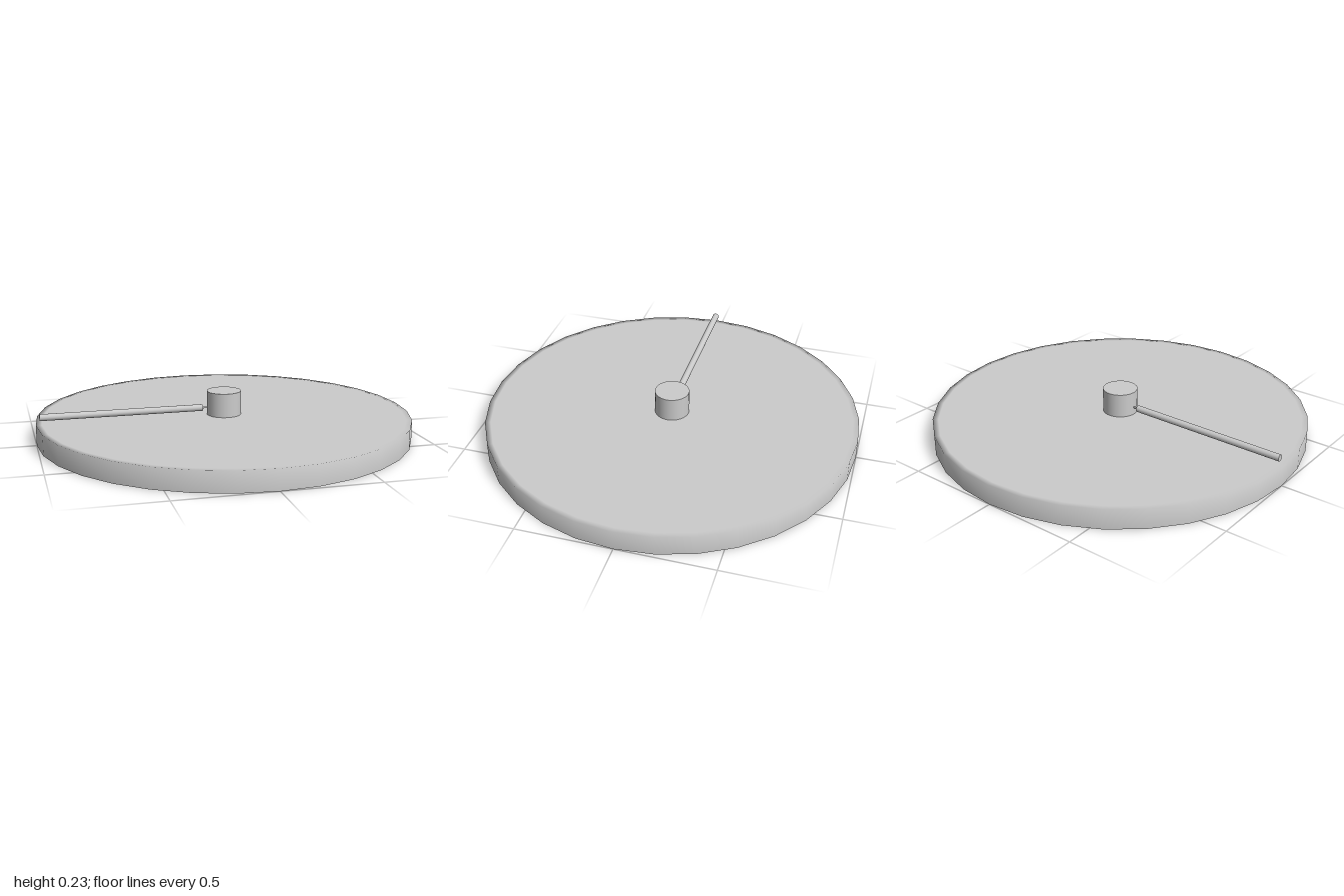
import * as THREE from 'three';

const material = new THREE.MeshStandardMaterial({ color: 0xcccccc });

function add(parent, name, geometry, x = 0, y = 0, z = 0) {
  const mesh = new THREE.Mesh(geometry, material);
  mesh.name = name;
  mesh.position.set(x, y, z);
  parent.add(mesh);
  return mesh;
}

// Rod lying along x between two ends
function addRod(parent, name, x0, x1, y, radius, sides) {
  const rod = add(parent, name, new THREE.CylinderGeometry(radius, radius, x1 - x0, sides), (x0 + x1) / 2, y);
  rod.rotation.z = Math.PI / 2;
}

export function createModel() {
  const model = new THREE.Group();
  model.name = 'turntable';

  // Round base: wall and top share softened normals along a narrow rim
  const base = new THREE.Group();
  base.name = 'base';
  model.add(base);
  const profile = [[1, 0], [1, 0.107], [0.97, 0.107], [0, 0.107]].map(([r, y]) => new THREE.Vector2(r, y));
  add(base, 'baseBody', new THREE.LatheGeometry(profile, 32));
  add(base, 'baseUnderside', new THREE.CircleGeometry(1, 32)).rotation.x = Math.PI / 2;

  // Central hub
  add(model, 'hub', new THREE.CylinderGeometry(0.092, 0.092, 0.13, 32), 0, 0.17, 0);

  // Arm held by a thin pin in the hub
  const arm = new THREE.Group();
  arm.name = 'arm';
  model.add(arm);
  addRod(arm, 'armRod', -0.98, -0.12, 0.148, 0.018, 16);
  addRod(arm, 'armPin', -0.14, -0.08, 0.148, 0.005, 12);

  return model;
}
